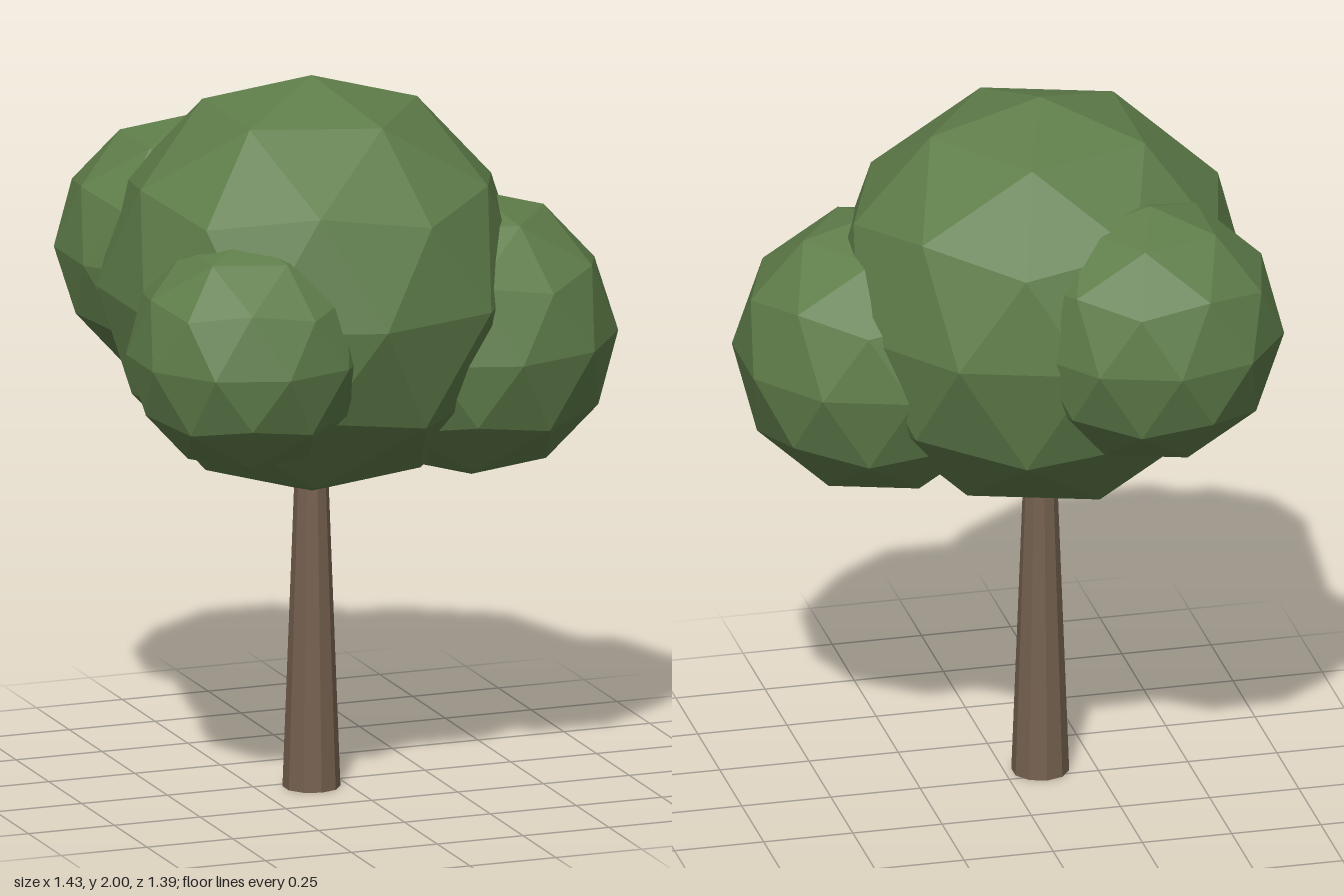
import * as THREE from 'three';

// Gives every face its own normal for a faceted look
function faceted(geometry) {
  const g = geometry.index ? geometry.toNonIndexed() : geometry;
  g.computeVertexNormals();
  return g;
}

export function createModel() {
  const tree = new THREE.Group();
  tree.name = 'tree';

  const leafGreen = new THREE.MeshStandardMaterial({ color: 0x5f7d4a });
  leafGreen.name = 'leafGreen';
  const barkBrown = new THREE.MeshStandardMaterial({ color: 0x75614f });
  barkBrown.name = 'barkBrown';

  // Tapered trunk, its top end buried in the crown
  const height = 0.96;
  const trunk = new THREE.Mesh(
    faceted(new THREE.CylinderGeometry(0.043, 0.079, height, 10)), barkBrown);
  trunk.name = 'trunk';
  trunk.position.set(-0.098, height / 2, 0.046);
  tree.add(trunk);

  // Faceted leaf ball, turned so that one corner points straight up
  const ball = new THREE.IcosahedronGeometry(1, 1);
  ball.rotateZ(-Math.atan(2 / (1 + Math.sqrt(5))));
  const leafBall = faceted(ball);

  // Crown and the three smaller clumps around it: name, centre, radius
  const clumps = [
    ['crown', [-0.098, 1.415, 0.046], 0.585],
    ['leftClump', [0.333, 1.26, 0.138], 0.4],
    ['frontRightClump', [-0.405, 1.325, 0.362], 0.331],
    ['backRightClump', [-0.313, 1.45, -0.335], 0.365],
  ];
  for (const [name, centre, radius] of clumps) {
    const clump = new THREE.Mesh(leafBall, leafGreen);
    clump.name = name;
    clump.position.set(...centre);
    clump.scale.setScalar(radius);
    tree.add(clump);
  }

  return tree;
}
